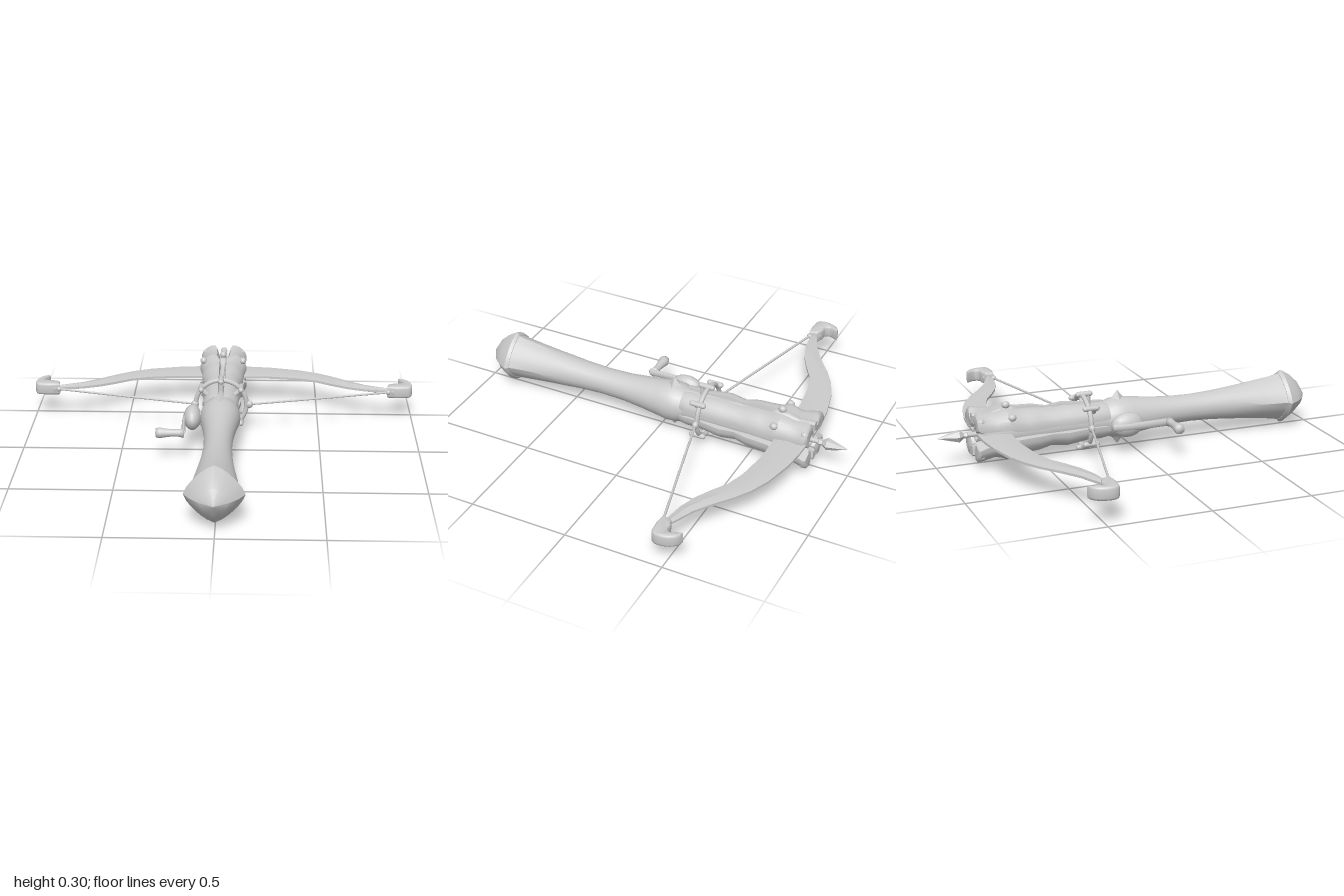
import * as THREE from 'three';
import { toCreasedNormals } from 'three/addons/utils/BufferGeometryUtils.js';

const AXIS = 0.155; // height of the long axis
const mat = new THREE.MeshStandardMaterial({ color: 0xcccccc, roughness: 0.8 });
const V = (x, y, z) => new THREE.Vector3(x, y, z);

function add(parent, name, geo, x = 0, y = 0, z = 0) {
  const m = new THREE.Mesh(geo, mat);
  m.name = name;
  m.position.set(x, y, z);
  parent.add(m);
  return m;
}

// Skin a series of closed rings, capped at both ends
function loft(rings, crease = 0.6) {
  const n = rings[0].length, pos = [], idx = [];
  const centre = r => r.reduce((s, p) => s.add(p), V(0, 0, 0)).divideScalar(n);
  rings.forEach(r => r.forEach(p => pos.push(p.x, p.y, p.z)));
  for (const r of [rings[0], rings[rings.length - 1]]) pos.push(...centre(r).toArray());
  const first = rings.length * n, base = first - n;
  for (let j = 0; j < n; j++) {
    const k = (j + 1) % n;
    for (let i = 0; i < rings.length - 1; i++) {
      const a = i * n + j, b = i * n + k;
      idx.push(a, a + n, b, b, a + n, b + n);
    }
    idx.push(first, j, k, first + 1, base + k, base + j);
  }
  const g = new THREE.BufferGeometry();
  g.setAttribute('position', new THREE.Float32BufferAttribute(pos, 3));
  g.setIndex(idx);
  return toCreasedNormals(g, crease);
}

// Ring around z; corner > 0 pulls it towards a four-ridged section
function ridgedRing(z, r, corner, n = 24) {
  return Array.from({ length: n }, (_, j) => {
    const a = j / n * Math.PI * 2;
    const k = r * (1 - corner * Math.abs(Math.sin(2 * a)));
    return V(Math.cos(a) * k, Math.sin(a) * k, z);
  });
}

// Curved bar covering an angular span, with [z, inner, outer, halfSpan] stations
function sector(stations, angle) {
  return loft(stations.map(([z, ri, ro, s]) => {
    const pts = [];
    for (let i = 0; i <= 6; i++) {
      const a = angle + s * (i / 3 - 1), r = ro * (1 - 0.08 * Math.abs(i / 3 - 1) ** 3);
      pts.push(V(Math.cos(a) * r, Math.sin(a) * r, z));
    }
    for (let i = 3; i >= 0; i--) {
      const a = angle + s * (i / 1.5 - 1);
      pts.push(V(Math.cos(a) * ri, Math.sin(a) * ri, z));
    }
    return pts;
  }), 0.7);
}

const tube = (pts, r, n = 16) => new THREE.TubeGeometry(new THREE.CatmullRomCurve3(pts), n, r, 8);

function ball(parent, name, x, y, z, sx, sy, sz) {
  add(parent, name, new THREE.SphereGeometry(1, 16, 10), x, y, z).scale.set(sx, sy, sz);
}

function createLimb() {
  const g = new THREE.Group();
  // Blade stations: x, outer z, inner z
  const st = [[0.04, -0.8, -0.64], [0.14, -0.797, -0.645], [0.25, -0.785, -0.643], [0.4, -0.75, -0.622],
    [0.5, -0.708, -0.59], [0.58, -0.658, -0.54], [0.66, -0.596, -0.497], [0.75, -0.535, -0.466], [0.9, -0.468, -0.442]];
  add(g, 'bowLimb', loft(st.map(([x, o, i]) => {
    const m = (o + i) / 2, e = 0.006, t = 0.013;
    return [V(x, -e, i), V(x, e, i), V(x, t, m), V(x, e, o), V(x, -e, o), V(x, -t, m)];
  }), 0.3));
  // Curled tip that holds the string
  const s = new THREE.Shape();
  s.moveTo(0.875, 0.445);
  s.lineTo(0.92, 0.44);
  s.lineTo(0.975, 0.445);
  s.quadraticCurveTo(0.995, 0.45, 0.992, 0.49);
  s.quadraticCurveTo(0.985, 0.55, 0.942, 0.565);
  s.quadraticCurveTo(0.967, 0.53, 0.958, 0.507);
  s.quadraticCurveTo(0.945, 0.487, 0.915, 0.492);
  s.lineTo(0.88, 0.478);
  const hook = new THREE.ExtrudeGeometry(s, { depth: 0.04, bevelSize: 0.008, bevelThickness: 0.012, bevelSegments: 2, curveSegments: 8 });
  hook.translate(0, 0, -0.02).rotateX(-Math.PI / 2);
  add(g, 'tipHook', toCreasedNormals(hook, 0.8));
  ball(g, 'tipCollar', 0.895, 0, -0.464, 0.02, 0.03, 0.032);
  add(g, 'bowString', tube([V(0.89, 0, -0.445), V(0.52, 0, -0.348), V(0.14, 0, -0.25)], 0.006));
  ball(g, 'stringKnot', 0.872, 0, -0.44, 0.014, 0.014, 0.014);
  ball(g, 'stringEye', 0.14, 0, -0.25, 0.02, 0.02, 0.016);
  return g;
}

export function createModel() {
  const model = new THREE.Group();
  const body = new THREE.Group();
  body.name = 'crossbow';
  body.position.set(-0.005, AXIS, 0);
  model.add(body);

  // Grip with four ridges that grow towards the pommel: z, radius, ridge strength
  const grip = [[0.85, 0.128, 0.15], [0.8, 0.117, 0.12], [0.7, 0.103, 0.09], [0.6, 0.09, 0.05], [0.55, 0.083, 0.01],
    [0.45, 0.074, 0], [0.33, 0.069, 0], [0.2, 0.072, 0], [0.1, 0.082, 0], [0, 0.095, 0], [-0.05, 0.103, 0],
    [-0.1, 0.099, 0], [-0.125, 0.09, 0], [-0.15, 0.08, 0]];
  add(body, 'grip', loft(grip.map(a => ridgedRing(...a))));
  const pommel = [[0.985, 0.003, 0], [0.945, 0.07, 0.14], [0.9, 0.112, 0.16], [0.852, 0.142, 0.16], [0.835, 0.127, 0.13]];
  add(body, 'pommel', loft(pommel.map(a => ridgedRing(...a)), 0.35));

  // Core barrel
  add(body, 'barrel', loft([[-0.12, 0.084], [-0.3, 0.08], [-0.5, 0.082], [-0.62, 0.086], [-0.77, 0.07], [-0.785, 0.05]]
    .map(([z, r]) => ridgedRing(z, r, 0))));

  // Four diagonal panels, swelling and flaring at the muzzle
  const panel = [[-0.13, 0.06, 0.094, 0.55], [-0.17, 0.06, 0.1, 0.62], [-0.24, 0.06, 0.099, 0.62], [-0.35, 0.06, 0.113, 0.6],
    [-0.43, 0.06, 0.102, 0.6], [-0.5, 0.06, 0.118, 0.62], [-0.56, 0.06, 0.121, 0.62], [-0.62, 0.06, 0.125, 0.6],
    [-0.66, 0.06, 0.142, 0.5], [-0.72, 0.055, 0.125, 0.48], [-0.78, 0.055, 0.138, 0.48], [-0.81, 0.06, 0.144, 0.42], [-0.818, 0.08, 0.135, 0.36]];
  // Slim rails above and below
  const rail = [[-0.13, 0.06, 0.086, 0.12], [-0.4, 0.06, 0.092, 0.12], [-0.58, 0.06, 0.095, 0.14], [-0.61, 0.06, 0.118, 0.17],
    [-0.68, 0.06, 0.117, 0.17], [-0.74, 0.05, 0.1, 0.17], [-0.79, 0.05, 0.108, 0.18], [-0.82, 0.06, 0.11, 0.16]];
  for (let i = 0; i < 4; i++) add(body, 'barrelPanel', sector(panel, Math.PI / 4 + i * Math.PI / 2));
  for (const s of [1, -1]) {
    add(body, 'barrelRail', sector(rail, s * Math.PI / 2));
    // Pyramid stud on the collar
    const stud = add(body, 'collarStud', new THREE.ConeGeometry(0.05, 0.06, 4).toNonIndexed(), 0, s * 0.11, -0.065);
    stud.geometry.computeVertexNormals();
    stud.rotation.x = s > 0 ? 0 : Math.PI;
  }

  // Ring guard with clasps, and studs around the muzzle
  add(body, 'ringGuard', new THREE.TorusGeometry(0.131, 0.012, 10, 40), 0, 0, -0.25);
  for (const deg of [90, 42, 138, -90, -42, -138]) {
    const a = deg * Math.PI / 180, c = Math.cos(a), s = Math.sin(a);
    const diagonal = Math.abs(deg) !== 90;
    const clasp = add(body, 'ringClasp', new THREE.CapsuleGeometry(0.014, 0.06, 4, 10), c * 0.137, s * 0.137, -0.24);
    clasp.rotation.x = Math.PI / 2;
    const link = add(body, 'ringLink', new THREE.CylinderGeometry(0.012, 0.016, 0.06, 8), c * 0.108, s * 0.108, -0.22);
    link.rotation.z = a - Math.PI / 2;
    const k = diagonal ? 0.142 : 0.13;
    ball(body, 'muzzleStud', c * k, s * k, -0.645, 0.018, 0.018, 0.02);
    if (diagonal) ball(body, 'muzzleBead', c * 0.128, s * 0.128, -0.8, 0.018, 0.018, 0.02);
  }

  // Bolt in the muzzle with a faceted point
  const shaft = add(body, 'boltShaft', new THREE.CylinderGeometry(0.012, 0.012, 0.14, 10), 0, 0, -0.8);
  shaft.rotation.x = Math.PI / 2;
  const collar = add(body, 'muzzleCollar', new THREE.TorusGeometry(0.035, 0.012, 8, 20), 0, 0, -0.785);
  collar.scale.z = 1.3;
  const tip = [[-0.835, 0.01], [-0.845, 0.018], [-0.86, 0.014], [-0.885, 0.031], [-0.93, 0.019], [-0.99, 0.001]];
  add(body, 'boltHead', loft(tip.map(([z, r]) => ridgedRing(z, r, 0, 6)), 0.3));

  // Bow limbs
  for (const s of [1, -1]) {
    const limb = createLimb();
    limb.name = s > 0 ? 'leftLimb' : 'rightLimb';
    limb.position.y = AXIS;
    limb.scale.x = s;
    model.add(limb);
  }

  // Winding crank on the right side
  const crank = new THREE.Group();
  crank.name = 'crank';
  crank.position.y = AXIS;
  model.add(crank);
  ball(crank, 'crankHousing', -0.145, 0, -0.065, 0.045, 0.062, 0.085);
  const axle = add(crank, 'crankAxle', new THREE.CylinderGeometry(0.03, 0.03, 0.1, 14), -0.12, 0, -0.065);
  axle.rotation.z = Math.PI / 2;
  add(crank, 'crankArm', tube([V(-0.172, 0, -0.15), V(-0.184, 0, -0.06), V(-0.184, 0, 0.05), V(-0.178, 0, 0.16)], 0.01)).scale.y = 2;
  const knob = [[0, 0], [0.022, 0.002], [0.027, 0.02], [0.023, 0.045], [0.018, 0.08], [0.019, 0.12], [0.025, 0.14], [0, 0.145]];
  const handle = add(crank, 'crankHandle', new THREE.LatheGeometry(knob.map(p => new THREE.Vector2(...p)), 16), -0.32, 0, 0.145);
  handle.rotation.z = -Math.PI / 2;
  return model;
}
